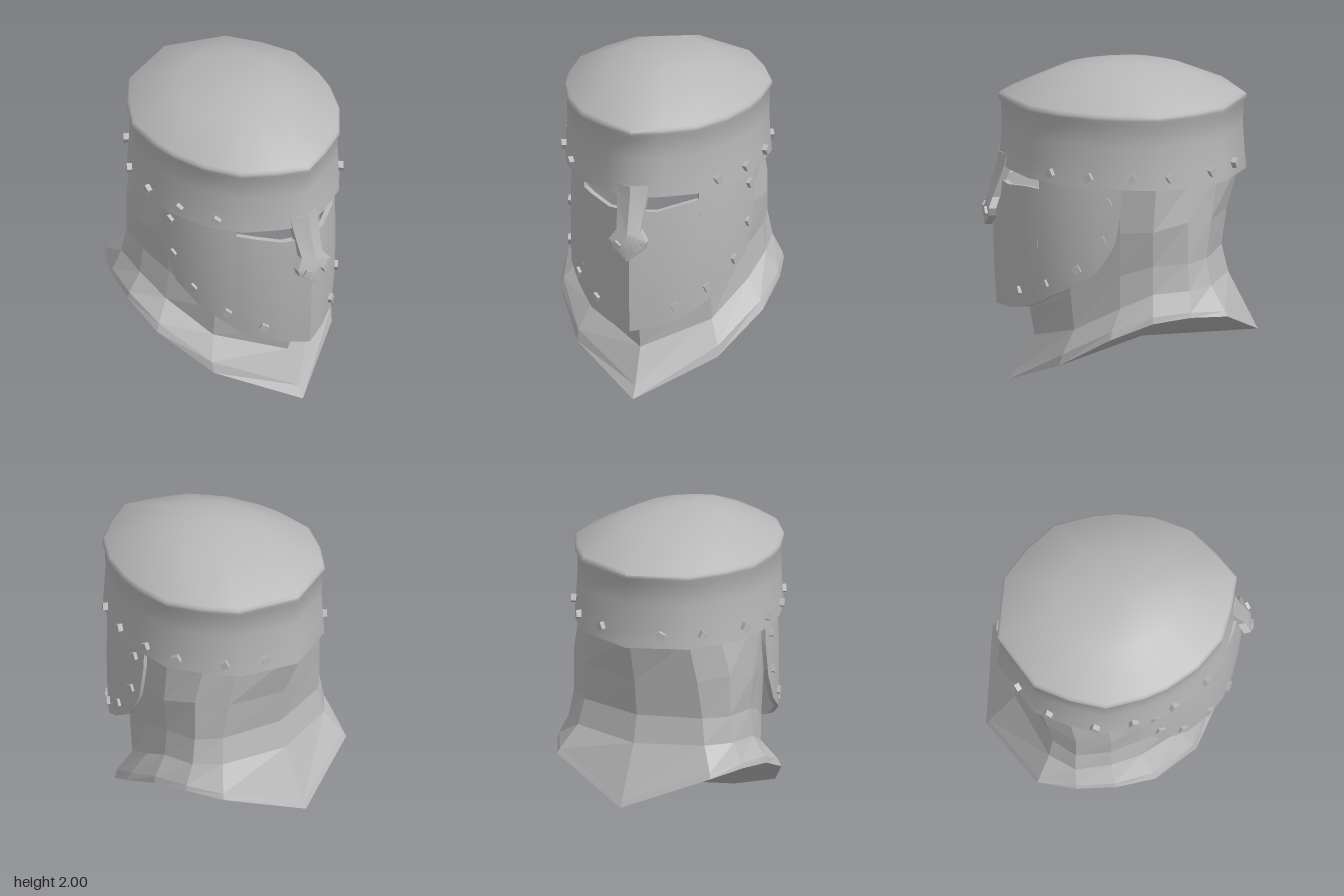
import * as THREE from 'three';
import { toCreasedNormals } from 'three/addons/utils/BufferGeometryUtils.js';

const steel = new THREE.MeshStandardMaterial({ color: 0xb8b8b8 });
steel.name = 'steel';

// Skin a list of closed rings; the ends may be closed with strips.
function loft(rings, crease, capStart = false, capEnd = false) {
  const n = rings[0].length;
  const pts = rings.flat().map((p) => new THREE.Vector3(...p));
  const index = [];
  const tri = (a, b, c) => {
    if (new THREE.Triangle(pts[a], pts[b], pts[c]).getArea() > 1e-7) index.push(a, b, c);
  };
  const quad = (a, b, c, d) => { tri(a, b, c); tri(a, c, d); };
  for (let r = 0; r < rings.length - 1; r++) {
    for (let i = 0; i < n; i++) {
      const a = r * n + i, b = r * n + (i + 1) % n;
      quad(a, b, b + n, a + n);
    }
  }
  const end = (rings.length - 1) * n;
  for (let i = 0; i < n / 2 - 1; i++) {
    if (capStart) quad(n - 1 - i, n - 2 - i, i + 1, i);
    if (capEnd) quad(end + i, end + i + 1, end + n - 2 - i, end + n - 1 - i);
  }
  const geo = new THREE.BufferGeometry().setFromPoints(pts);
  geo.setIndex(index);
  return toCreasedNormals(geo, crease);
}

// Close a half ring (front to back along +x) with its mirror image.
const mirrorRing = (half) => [...half, ...half.slice(1, -1).reverse().map(([x, y, z]) => [-x, y, z])];

// Outline of the skull band, half, as [x, z]
const bandOutline = [[0, 0.735], [0.18, 0.655], [0.36, 0.55], [0.5, 0.36], [0.58, 0.15], [0.605, 0],
  [0.605, -0.24], [0.5, -0.44], [0.36, -0.62], [0, -0.755]];

// Face plate, half, as [x, z, bottom y, top y]; the step in the top is the eye slit
const visorColumns = [[0, 0.755, 0.48, 1.28], [0.15, 0.675, 0.495, 1.26], [0.29, 0.575, 0.53, 1.285],
  [0.36, 0.49, 0.575, 1.285], [0.36, 0.49, 0.575, 1.37], [0.41, 0.43, 0.62, 1.37], [0.49, 0.3, 0.7, 1.37],
  [0.54, 0.13, 0.81, 1.37], [0.555, 0.03, 0.99, 1.37], [0.56, -0.005, 1.2, 1.37]];

// Neck guard rings from the rim upward, half, as [x, y, z]
const neckRings = [
  [[0, 0, 0.68], [0.44, 0.2, 0.37], [0.64, 0.41, 0.06], [0.67, 0.52, -0.2], [0.63, 0.55, -0.43], [0.52, 0.53, -0.65], [0, 0.32, -0.83]],
  [[0, 0.07, 0.63], [0.44, 0.27, 0.35], [0.62, 0.46, 0.05], [0.66, 0.56, -0.2], [0.62, 0.58, -0.43], [0.51, 0.56, -0.635], [0, 0.36, -0.81]],
  [[0, 0.28, 0.52], [0.38, 0.41, 0.28], [0.53, 0.58, 0], [0.58, 0.68, -0.2], [0.56, 0.7, -0.42], [0.43, 0.7, -0.55], [0, 0.68, -0.65]],
  [[0, 0.45, 0.55], [0.38, 0.62, 0.3], [0.51, 0.78, 0], [0.56, 0.85, -0.2], [0.53, 0.86, -0.41], [0.4, 0.86, -0.52], [0, 0.85, -0.61]],
  [[0, 0.9, 0.65], [0.4, 1, 0.3], [0.53, 1.05, 0], [0.585, 1.07, -0.2], [0.53, 1.12, -0.41], [0.38, 1.1, -0.55], [0, 1.07, -0.64]],
  [[0, 1.1, 0.6], [0.41, 1.15, 0.3], [0.54, 1.37, 0], [0.572, 1.37, -0.22], [0.48, 1.37, -0.44], [0.34, 1.37, -0.59], [0, 1.37, -0.72]],
];

export function createModel() {
  const helmet = new THREE.Group();
  helmet.name = 'helmet';
  const add = (name, geo, parent = helmet) => {
    const mesh = new THREE.Mesh(geo, steel);
    mesh.name = name;
    parent.add(mesh);
    return mesh;
  };

  // Band, rolled rim and domed crown in one skin: [y, outline scale]
  const skullRows = [[1.7, 0.94], [1.34, 0.945], [1.34, 1.005], [1.45, 0.992], [1.6, 0.98], [1.74, 0.985],
    [1.77, 1.008], [1.79, 1.008], [1.805, 0.985], [1.945, 0.54], [1.985, 0.24], [2, 0]];
  add('skullBand', loft(skullRows.map(([y, s]) => mirrorRing(bandOutline.map(([x, z]) =>
    [x * s, y + (y < 1.4 ? 0.02 * z : 0), z * s + (s < 0.3 ? 0.04 : 0)]))), 1.0, true));

  // Face plate with thickness and a centre ridge
  const visorRing = ([x, z, low, high], side) => {
    const rows = [0, 0.25, 0.5, 0.75, 1].map((t) => {
      const y = low + (high - low) * t;
      const k = 1.02 - 0.12 * (y - 0.95) ** 2;
      return [side * x * k, y, z * k];
    });
    return [...rows, ...rows.map(([a, y, c]) => [a * 0.95, y, c * 0.95]).reverse()];
  };
  add('visor', loft([
    ...visorColumns.slice(1).reverse().map((c) => visorRing(c, 1)),
    ...visorColumns.map((c) => visorRing(c, -1)),
  ], 0.6, true, true));

  // Nose guard: [ridge y, edge y, half width, ridge z, edge setback]
  const nasalRows = [[0.97, 1.05, 0.105, 0.825, 0.03], [1.085, 1.1, 0.12, 0.828, 0.03], [1.15, 1.16, 0.075, 0.81, 0.035],
    [1.36, 1.36, 0.093, 0.75, 0.045], [1.43, 1.43, 0.1, 0.738, 0.05]];
  add('noseGuard', loft([1, 0, -1].map((side) => {
    const rows = nasalRows.map(([yc, ye, w, z, d]) => [side * w, side ? ye : yc, side ? z - d : z]);
    return [...rows, ...rows.map(([x, y, z]) => [x, y, z - 0.045]).reverse()];
  }), 0.6, true, true));

  // Faceted neck guard with flared rim, and its smooth underside
  const neck = neckRings.map(mirrorRing);
  add('neckGuard', loft(neck, 0.01));
  add('underside', loft([neck[0].map(() => [0, 0.275, -0.13]), neck[0]], 1.2));

  // Rivets sit on an outline at a given z, turned to face outward
  const rivets = new THREE.Group();
  rivets.name = 'rivets';
  helmet.add(rivets);
  const rivetGeo = new THREE.BoxGeometry(0.045, 0.045, 0.036);
  const rivetAt = (x, y, z, angle) => {
    for (const side of [1, -1]) {
      const rivet = add('rivet', rivetGeo, rivets);
      rivet.position.set(side * x, y, z);
      rivet.rotation.set(0, side * angle, side * 0.5);
    }
  };
  const rivetOn = (outline, z, y) => {
    const i = outline.findIndex((p, j) => j > 0 && p[1] <= z);
    const [x0, z0] = outline[i - 1], [x1, z1] = outline[i];
    const x = x0 + (x1 - x0) * (z - z0) / (z1 - z0);
    const angle = Math.atan2(z0 - z1, x1 - x0);
    rivetAt(x + 0.01 * Math.sin(angle), y, z + 0.01 * Math.cos(angle), angle);
  };
  for (const z of [0.42, 0.19, -0.07, -0.3, -0.55, -0.68]) rivetOn(bandOutline, z, 1.41);
  for (const [z, y] of [[0.08, 1.25], [0.11, 1.01], [0.26, 0.82], [0.45, 0.7], [0.61, 0.62]]) rivetOn(visorColumns, z, y);
  rivetAt(0.06, 1.07, 0.812, 0.3);

  return helmet;
}
